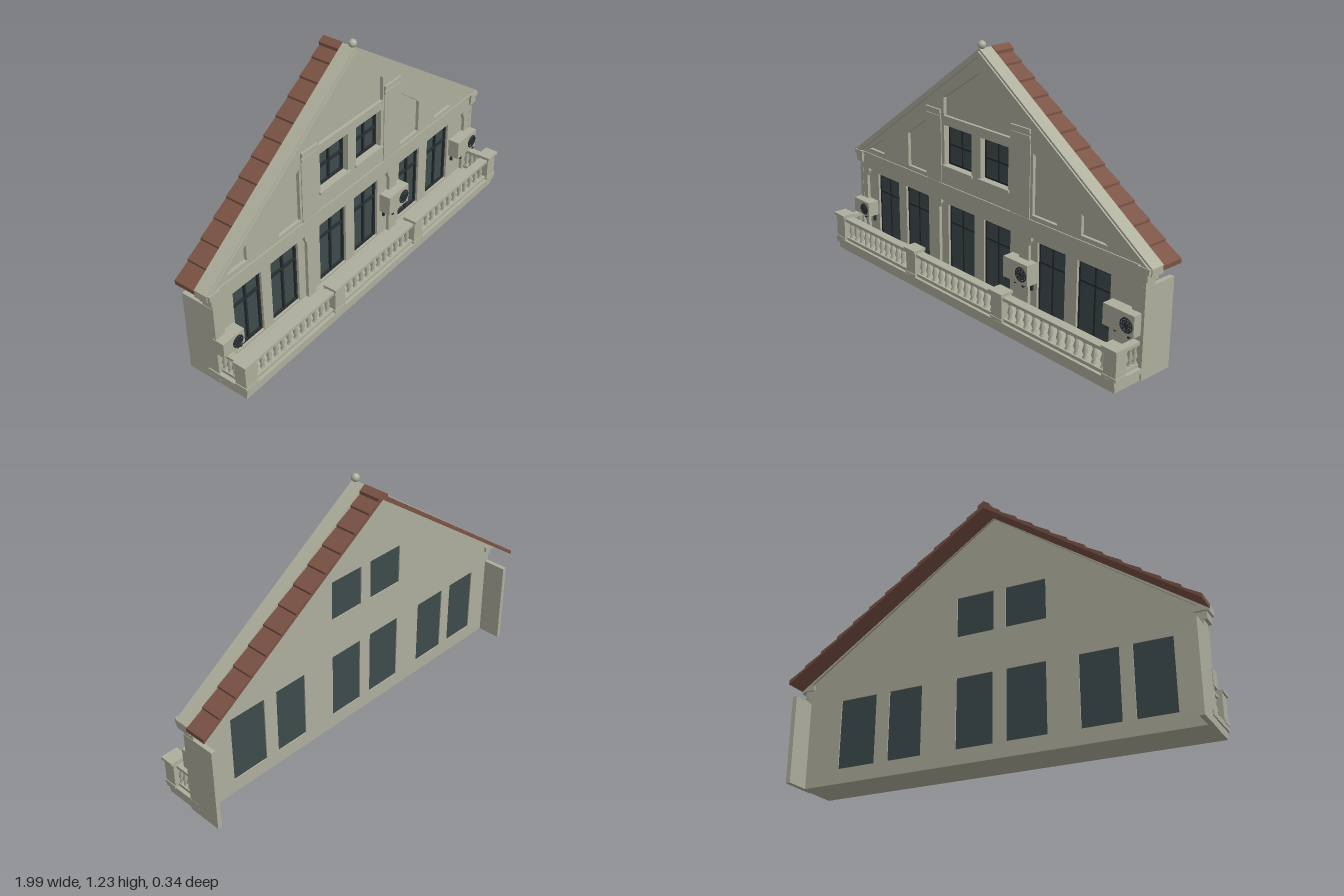
import * as THREE from 'three';

const mat = (name, color) => {
  const m = new THREE.MeshStandardMaterial({ color });
  m.name = name;
  return m;
};

export function createModel() {
  const stone = mat('stone', 0xaeae9d), tile = mat('roofTile', 0x7a5344);
  const glass = mat('glass', 0x3d4a4b), dark = mat('darkMetal', 0x272d30);
  const root = new THREE.Group();
  root.name = 'gabledFacade';

  const add = (name, geo, m, parent = root) => {
    const mesh = new THREE.Mesh(geo, m);
    mesh.name = name;
    parent.add(mesh);
    return mesh;
  };
  // box given by its limits on each axis
  const box = (name, x0, x1, y0, y1, z0, z1, m = stone, parent = root) => {
    const b = add(name, new THREE.BoxGeometry(x1 - x0, y1 - y0, z1 - z0), m, parent);
    b.position.set((x0 + x1) / 2, (y0 + y1) / 2, (z0 + z1) / 2);
    return b;
  };
  const v = (pts) => pts.map(([x, y]) => new THREE.Vector2(x, y));
  const rect = ([x0, x1, y0, y1]) => [[x0, y0], [x1, y0], [x1, y1], [x0, y1]];
  const plate = (name, pts, holes, z0, z1, m = stone) => {
    const s = new THREE.Shape(v(pts));
    holes.forEach((h) => s.holes.push(new THREE.Path(v(h))));
    const geo = new THREE.ExtrudeGeometry(s, { depth: z1 - z0, bevelEnabled: false });
    return add(name, geo.translate(0, 0, z0), m);
  };

  const APEX = -0.025;
  const lower = [[-0.835, -0.66], [-0.6, -0.42], [-0.27, -0.08], [-0.015, 0.165], [0.34, 0.51], [0.58, 0.77]]
    .map(([a, b]) => [a, b, 0.07, 0.4]);
  const upper = [[-0.275, -0.08, 0.6, 0.795], [-0.02, 0.165, 0.6, 0.795]];
  const gable = [[-0.965, 0.03], [0.965, 0.03], [0.965, 0.5], [APEX, 1.175], [-0.965, 0.5]];

  // wall with window openings
  plate('wall', gable, [...lower, ...upper].map(rect), -0.055, -0.014);

  // front layer: bays between pilasters and sunken gable panels
  const bay = (a, b) => [[a, 0.06], [b, 0.06], [b, 0.375], [b - 0.014, 0.4], [b - 0.014, 0.42],
    [a + 0.014, 0.42], [a + 0.014, 0.4], [a, 0.375]];
  const panels = [
    [[-0.276, 0.84], [0.176, 0.84], [0.176, 0.96], [APEX, 1.09], [-0.276, 0.926]],
    [[-0.553, 0.525], [-0.412, 0.525], [-0.412, 0.79], [-0.553, 0.69]],
    [[-0.88, 0.53], [-0.753, 0.53], [-0.753, 0.61]],
    [[0.32, 0.525], [0.47, 0.525], [0.47, 0.69], [0.32, 0.81]],
    [[0.61, 0.525], [0.76, 0.525], [0.61, 0.62]],
  ];
  plate('facadeFace', gable,
    [bay(-0.91, -0.375), bay(-0.32, 0.24), bay(0.3, 0.9), ...panels, ...upper.map(rect)], -0.014, 0.002);
  box('beamMoulding', -0.968, 0.968, 0.49, 0.505, 0, 0.008);

  // gable strips with stepped caps
  [[-0.4, -0.295, 0.865], [0.185, 0.305, 0.91]].forEach(([a, b, top]) => {
    box('gableStrip', a, b, 0.505, top, 0, 0.006);
    box('stripCap', a, b, top - 0.02, top, 0, 0.012);
    box('stripCap', a, b, top - 0.045, top - 0.03, 0, 0.01);
  });

  // windows: glass, frame and glazing bars
  const window_ = ([a, b, c, d], barAt) => {
    const g = new THREE.Group();
    g.name = 'window';
    root.add(g);
    const z0 = -0.042, z1 = -0.026, t = 0.01, mx = (a + b) / 2, my = c + (d - c) * barAt;
    box('pane', a, b, c, d, -0.05, -0.038, glass, g);
    box('frameLeft', a, a + t, c, d, z0, z1, dark, g);
    box('frameRight', b - t, b, c, d, z0, z1, dark, g);
    box('frameTop', a, b, d - t, d, z0, z1, dark, g);
    box('frameBottom', a, b, c, c + t, z0, z1, dark, g);
    box('uprightBar', mx - 0.005, mx + 0.005, c, d, z0, z1, dark, g);
    box('crossBar', a, b, my - 0.005, my + 0.005, z0, z1, dark, g);
  };
  lower.forEach((w) => window_(w, 0.72));
  upper.forEach((w) => {
    window_(w, 0.5);
    box('windowSill', w[0] - 0.01, w[1] + 0.01, 0.588, 0.6, -0.02, 0.012);
  });

  // gable coping along both slopes
  const chevron = (half, eave, top, t) => [[-half, eave - t], [-half, eave], [APEX, top],
    [half, eave], [half, eave - t], [APEX, top - t]];
  plate('coping', chevron(0.995, 0.505, 1.198, 0.035), [], -0.065, 0.004);
  plate('copingLip', chevron(0.99, 0.498, 1.187, 0.022), [], 0, 0.012);
  const ball = add('finial', new THREE.SphereGeometry(0.019, 16, 12), stone);
  ball.position.set(APEX, 1.212, -0.012);

  // tiled roof strip, stepped in rows
  [-1, 1].forEach((side) => {
    const rows = 12, top = [], ex = side * 0.997, ey = 0.493;
    for (let i = 0; i < rows; i++) {
      [i / rows, (i + 1) / rows].forEach((t, k) => {
        top.push([APEX + (ex - APEX) * t, 1.18 + (ey - 1.18) * t + k * 0.01]);
      });
    }
    plate('roofSlope', [...top, [ex, ey - 0.01], [APEX, 1.165]], [], -0.17, -0.062, tile);
  });
  plate('ridgeCap', [[APEX - 0.03, 1.165], [APEX + 0.03, 1.165], [APEX + 0.03, 1.18],
    [APEX, 1.2], [APEX - 0.03, 1.18]], [], -0.17, -0.065, tile);

  // end pieces: eave brackets and side walls
  [-1, 1].forEach((s) => {
    const end = (name, a, b, ...rest) => box(name, Math.min(s * a, s * b), Math.max(s * a, s * b), ...rest);
    end('eaveBlock', 0.93, 0.99, 0.48, 0.505, -0.065, 0.017);
    end('eaveBracket', 0.935, 0.98, 0.445, 0.48, -0.055, 0.013);
    end('sideWall', 0.945, 0.967, 0, 0.415, -0.17, 0.003);
  });

  // balcony base and floor
  box('balconyBase', -0.965, 0.96, 0, 0.037, -0.055, 0.153);
  box('balconyFloor', -0.972, 0.968, 0.035, 0.058, -0.055, 0.165);

  // balustrade
  const balProfile = v([[0.011, 0], [0.011, 0.008], [0.006, 0.014], [0.013, 0.035], [0.006, 0.066],
    [0.01, 0.074], [0.01, 0.09]]);
  const balGeo = new THREE.LatheGeometry(balProfile, 8);
  const baluster = (x, z) => add('baluster', balGeo, stone).position.set(x, 0.072, z);
  const posts = [-0.937, -0.347, 0.267, 0.935];
  posts.forEach((x, i) => {
    box('post', x - 0.034, x + 0.034, 0.055, 0.185, 0.1, 0.16);
    box('postCap', x - 0.042, x + 0.042, 0.183, 0.196, 0.1, 0.17);
    box('postFoot', x - 0.038, x + 0.038, 0.055, 0.07, 0.1, 0.164);
    if (i === 3) return;
    const a = x + 0.034, b = posts[i + 1] - 0.034, n = 12;
    box('topRail', a, b, 0.16, 0.175, 0.108, 0.154);
    box('bottomRail', a, b, 0.057, 0.073, 0.112, 0.15);
    for (let k = 0; k < n; k++) baluster(a + ((k + 0.5) / n) * (b - a), 0.131);
  });
  [posts[0], posts[3]].forEach((x) => {
    box('sideTopRail', x - 0.018, x + 0.018, 0.16, 0.175, 0, 0.105);
    box('sideBottomRail', x - 0.015, x + 0.015, 0.057, 0.073, 0, 0.105);
    [0.012, 0.04, 0.068, 0.094].forEach((z) => baluster(x, z));
  });

  // wall-mounted cooling units with fan grilles
  const unit = (x0, x1, y0, y1, fx, fy, r) => {
    const g = new THREE.Group();
    g.name = 'coolingUnit';
    root.add(g);
    box('unitCase', x0, x1, y0, y1, -0.014, 0.046, stone, g);
    [x0 + 0.02, x1 - 0.03].forEach((x) => {
      box('unitBracket', x, x + 0.01, y0 - 0.008, y0, -0.014, 0.05, dark, g);
      box('bracketStem', x, x + 0.01, y0 - 0.04, y0, -0.014, -0.002, dark, g);
    });
    const fan = new THREE.Group();
    fan.name = 'fan';
    fan.position.set(fx, fy, 0.047);
    g.add(fan);
    [1, 0.68, 0.36].forEach((k) => add('fanRing', new THREE.TorusGeometry(r * k, 0.0035, 6, 24), dark, fan));
    add('fanHub', new THREE.CylinderGeometry(0.008, 0.008, 0.008, 12).rotateX(Math.PI / 2), dark, fan);
    for (let i = 0; i < 4; i++) {
      add('fanSpoke', new THREE.BoxGeometry(r * 2, 0.005, 0.004), dark, fan).rotation.z = (i * Math.PI) / 4;
    }
  };
  unit(-0.97, -0.845, 0.175, 0.25, -0.885, 0.208, 0.027);
  unit(0.185, 0.34, 0.205, 0.305, 0.3, 0.252, 0.032);
  unit(0.785, 0.953, 0.203, 0.3, 0.913, 0.247, 0.031);

  return root;
}
